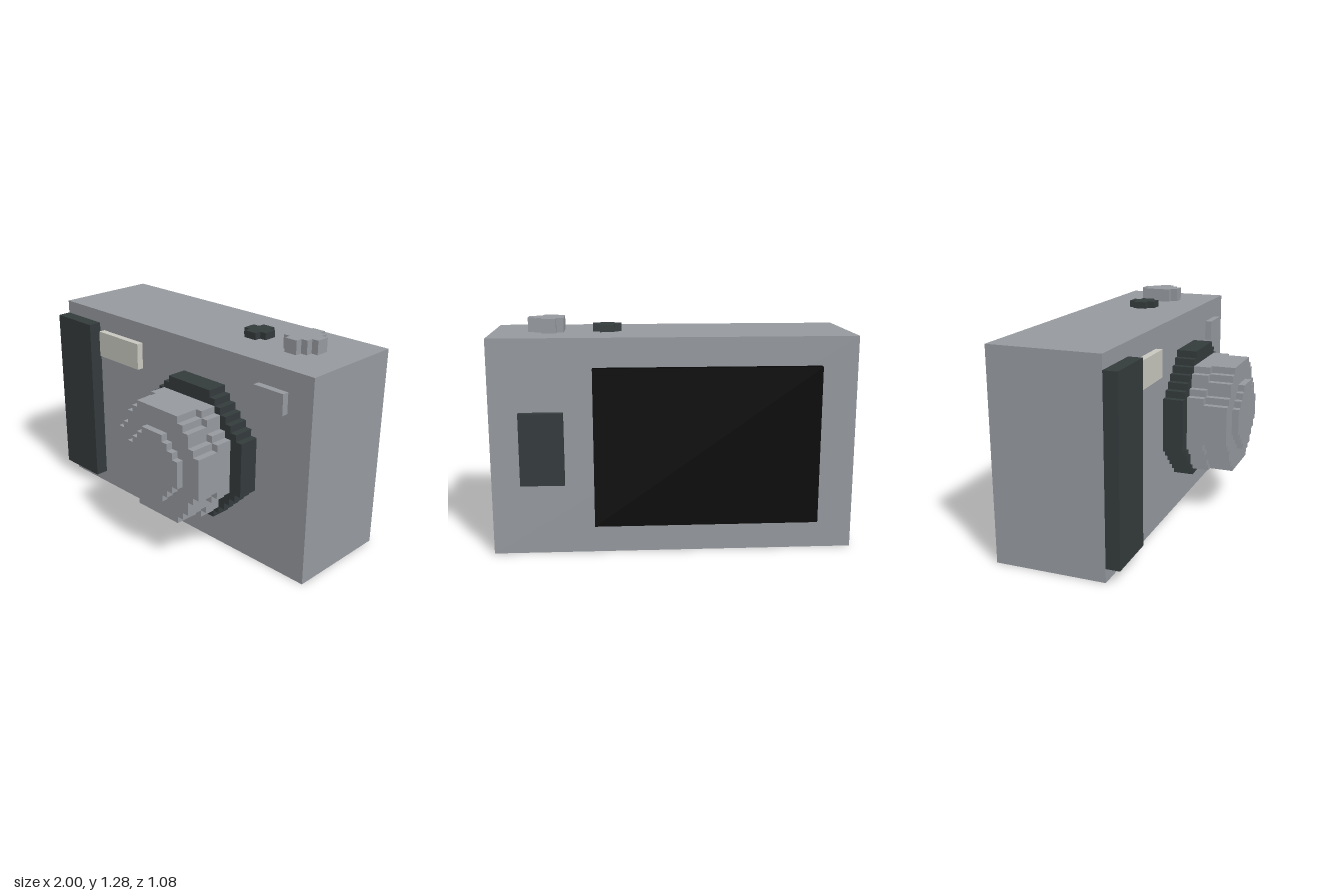
import * as THREE from 'three';

const CELL = 0.04;

const material = (name, color) => {
  const m = new THREE.MeshStandardMaterial({ color });
  m.name = name;
  return m;
};

// Stepped block: one [left, right] pair per row of cells, listed from the bottom up
function steppedGeometry(rows, y0, depth) {
  const points = [];
  const add = (x, y) => points.push(new THREE.Vector2(x, y));
  rows.forEach(([, right], i) => {
    add(right, y0 + i * CELL);
    add(right, y0 + (i + 1) * CELL);
  });
  for (let i = rows.length - 1; i >= 0; i--) {
    add(rows[i][0], y0 + (i + 1) * CELL);
    add(rows[i][0], y0 + i * CELL);
  }
  // Drop points that lie in the middle of a straight edge
  const corners = points.filter((p, i) => {
    const a = points[(i + points.length - 1) % points.length];
    const b = points[(i + 1) % points.length];
    return Math.abs((p.x - a.x) * (b.y - p.y) - (p.y - a.y) * (b.x - p.x)) > 1e-9;
  });
  return new THREE.ExtrudeGeometry(new THREE.Shape(corners), { depth, bevelEnabled: false });
}

// Half widths in cells become rows centred on cx
const centred = (cx, halves) => halves.map((h) => [cx - h * CELL, cx + h * CELL]);
// Half widths from the middle row outwards, mirrored up and down
const mirrored = (halves) => [...halves].reverse().concat(halves);

export function createModel() {
  const camera = new THREE.Group();
  camera.name = 'camera';
  const grey = material('grey metal', 0x969a9f);
  const dark = material('dark rubber', 0x343b3c);
  const black = material('black glass', 0x060606);
  const cream = material('flash cream', 0xc8c8c0);

  const add = (name, geometry, mat) => {
    const mesh = new THREE.Mesh(geometry, mat);
    mesh.name = name;
    camera.add(mesh);
    return mesh;
  };
  const box = (name, mat, [x0, x1], [y0, y1], [z0, z1]) =>
    add(name, new THREE.BoxGeometry(x1 - x0, y1 - y0, z1 - z0), mat)
      .position.set((x0 + x1) / 2, (y0 + y1) / 2, (z0 + z1) / 2);

  // Body and its front fittings
  box('body', grey, [-1, 1], [0, 1.2], [-0.5, 0.14]);
  box('grip', dark, [-1, -0.68], [0.08, 1.12], [0.14, 0.22]);
  box('flash', cream, [-0.64, -0.28], [0.92, 1.08], [0.14, 0.18]);
  box('viewfinder', grey, [0.64, 0.84], [0.96, 1.08], [0.14, 0.18]);

  // Back screen and control pad
  box('screen', black, [-0.8, 0.44], [0.16, 1.04], [-0.54, -0.5]);
  box('controlPad', dark, [0.6, 0.84], [0.4, 0.8], [-0.54, -0.5]);

  // Lens, from the mount out to the front element
  const lens = (name, mat, halves, y0, z0, z1) =>
    add(name, steppedGeometry(centred(0.24, halves), y0, z1 - z0), mat).position.z = z0;
  lens('lensMount', dark,
    [5, 6, 7, 8, 9, ...Array(8).fill(10), 9, 8, 7, 6, 5, 4], 0.24, 0.14, 0.26);
  lens('lensBarrelBase', grey, mirrored([8, 8, 8, 8, 7, 6, 6, 5]), 0.28, 0.26, 0.36);
  lens('lensBarrel', grey, mirrored([8, 8, 8, 7, 6, 6, 5, 4]), 0.28, 0.36, 0.5);
  lens('lensFront', grey, mirrored([5, 5, 4, 3, 2]), 0.4, 0.5, 0.54);

  // Buttons on the top plate
  const button = (name, mat, rows, start, height) => {
    const geometry = steppedGeometry(rows, start, height).rotateX(-Math.PI / 2);
    add(name, geometry, mat).position.y = 1.2;
  };
  button('powerButton', dark, centred(0.36, mirrored([2, 1])), 0.1, 0.04);
  button('shutterButton', grey,
    mirrored([[0.6, 0.8], [0.6, 0.76], [0.64, 0.72]]), 0.06, 0.08);

  return camera;
}
